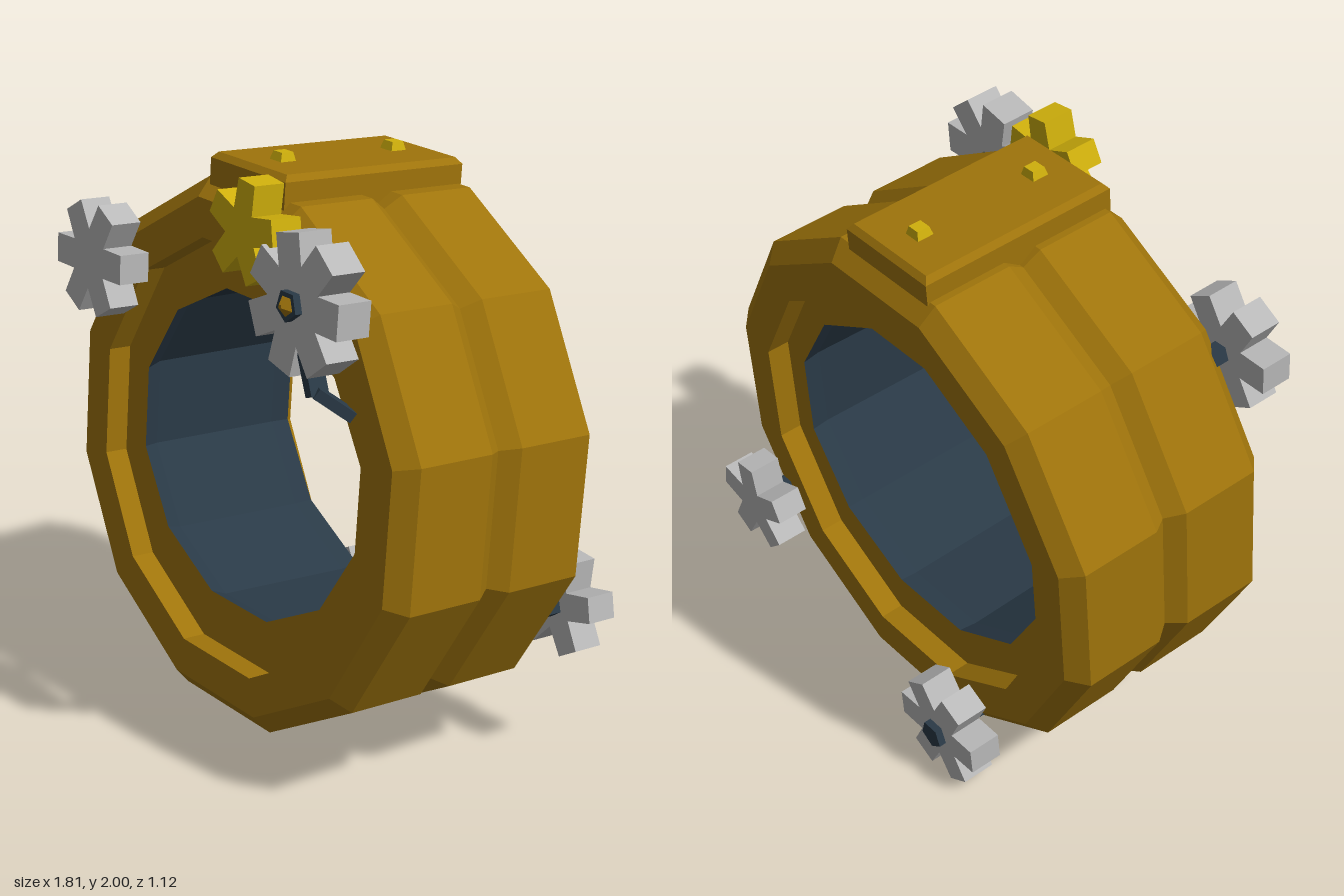
import * as THREE from 'three';

const mat = (name, color, side = THREE.FrontSide) =>
  Object.assign(new THREE.MeshStandardMaterial({ color, side, flatShading: true }), { name });

export function createModel() {
  const bronze = mat('bronze', 0x9f740b);
  const slate = mat('slate', 0x2a3a47, THREE.DoubleSide);
  const silver = mat('silver', 0xb8b8b8);
  const yellow = mat('yellow', 0xd0b00c);

  const model = new THREE.Group();
  model.name = 'gearedRing';
  const TILT = [-0.082, -0.083, 0];

  const add = (parent, name, geo, material, x = 0, y = 0, z = 0) => {
    const m = new THREE.Mesh(geo, material);
    m.name = name;
    m.position.set(x, y, z);
    parent.add(m);
    return m;
  };

  // Twelve-sided ring section around z; points are [apothem, axial offset]
  const COS = Math.cos(Math.PI / 12);
  const ringGeo = (pts) => {
    const g = new THREE.LatheGeometry(
      pts.map(([a, s]) => new THREE.Vector2(a / COS, s)), 12, Math.PI / 12);
    g.rotateX(Math.PI / 2);
    // The bore is slightly flattened in height
    const p = g.attributes.position;
    for (let i = 0; i < p.count; i++) {
      if (Math.hypot(p.getX(i), p.getY(i)) * COS < 0.66) p.setY(i, p.getY(i) * 0.91);
    }
    return g;
  };

  // Box with a narrower top
  const taperedBox = (w, h, d, inset) => {
    const g = new THREE.BoxGeometry(w, h, d);
    const p = g.attributes.position;
    for (let i = 0; i < p.count; i++) {
      if (p.getY(i) > 0) {
        p.setX(i, p.getX(i) - Math.sign(p.getX(i)) * inset);
        p.setZ(i, p.getZ(i) - Math.sign(p.getZ(i)) * inset);
      }
    }
    return g;
  };

  // Tilted ring: recessed faces, chamfered rims, V groove round the middle
  const ring = new THREE.Group();
  ring.name = 'ring';
  ring.position.set(0, 0.992, -0.02);
  ring.rotation.set(...TILT);
  model.add(ring);
  add(ring, 'ringBody', ringGeo([
    [0.603, -0.315], [0.69, -0.315], [0.69, -0.395], [0.815, -0.395], [0.876, -0.34],
    [0.876, -0.06], [0.835, 0], [0.876, 0.06],
    [0.876, 0.338], [0.815, 0.397], [0.69, 0.397], [0.69, 0.315], [0.573, 0.315],
  ]), bronze);
  // Lining bulges a little between its two lips
  add(ring, 'innerLining', ringGeo([
    [0.573, 0.315], [0.602, 0.25], [0.612, -0.25], [0.603, -0.315],
  ]), slate);

  // Top plate with two studs
  add(ring, 'topPlate', new THREE.BoxGeometry(0.39, 0.1, 0.71), bronze, -0.015, 0.89, 0.005);
  add(ring, 'topPlateBevel', taperedBox(0.39, 0.02, 0.71, 0.017), bronze, -0.015, 0.95, 0.005);
  for (const z of [-0.22, 0.225])
    add(ring, 'stud', taperedBox(0.06, 0.03, 0.06, 0.008), yellow, -0.015, 0.973, z);

  // Gears: flat star-toothed wheels on short five-sided axles
  const gearGeo = (teeth, R, r, tip, depth, start) => {
    const pts = [];
    for (let i = 0; i < teeth; i++) {
      const a = start + (i / teeth) * Math.PI * 2;
      const half = Math.asin(tip / 2 / R);
      const valley = a + Math.PI / teeth;
      pts.push([R, a - half], [R, a + half], [r, valley]);
    }
    const shape = new THREE.Shape(
      pts.map(([q, a]) => new THREE.Vector2(q * Math.cos(a), q * Math.sin(a))));
    return new THREE.ExtrudeGeometry(shape, { depth, bevelEnabled: false })
      .translate(0, 0, -depth / 2);
  };
  const axleGeo = (r0, r1, len) =>
    new THREE.CylinderGeometry(r1, r0, len, 5).rotateX(Math.PI / 2);

  const gears = [
    { name: 'frontRightGear', at: [-0.68, 1.55, 0.35], n: 6, R: 0.195, r: 0.1, d: 0.11, a: 0.02 },
    { name: 'frontTopGear', at: [0.15, 1.835, 0.4], n: 5, R: 0.164, r: 0.078, d: 0.11, a: 1.45, m: yellow },
    { name: 'frontLeftGear', at: [0.447, 1.69, 0.45], n: 7, R: 0.22, r: 0.125, d: 0.12, a: -0.01, hub: 1 },
    { name: 'backLeftGear', at: [0.735, 0.54, -0.415], n: 5, R: 0.17, r: 0.078, d: 0.11, a: 0.23 },
    { name: 'backBottomGear', at: [-0.265, 0.193, -0.47], n: 6, R: 0.192, r: 0.1, d: 0.115, a: -0.02, hub: 1 },
  ];
  for (const g of gears) {
    const side = Math.sign(g.at[2]);
    const group = new THREE.Group();
    group.name = g.name;
    group.position.set(...g.at);
    group.rotation.set(...TILT);
    model.add(group);
    add(group, 'toothedWheel', gearGeo(g.n, g.R, g.r, g.R * 0.5, g.d, g.a), g.m || silver);
    add(group, 'axle', axleGeo(0.038, 0.038, 0.12), slate, 0, 0, -side * 0.06);
    if (g.hub) add(group, 'hub', axleGeo(0.05, 0.05, 0.03), slate, 0, 0, side * (g.d / 2 + 0.01));
    if (g.hub && side > 0) add(group, 'hubCap', axleGeo(0.036, 0.008, 0.025), bronze, 0, 0, g.d / 2 + 0.035);
  }

  // Bent lever hanging below the front left gear
  const lever = [[0.465, 1.6, 0.48], [0.525, 1.44, 0.49], [0.57, 1.365, 0.405]]
    .map((p) => new THREE.Vector3(...p));
  for (let i = 0; i < 2; i++) {
    const dir = lever[i + 1].clone().sub(lever[i]);
    const mid = lever[i].clone().addScaledVector(dir, 0.5);
    const bar = add(model, 'lever', new THREE.BoxGeometry(0.062, 0.035, dir.length() + 0.02), slate, mid.x, mid.y, mid.z);
    bar.lookAt(lever[i + 1]);
  }
  return model;
}
